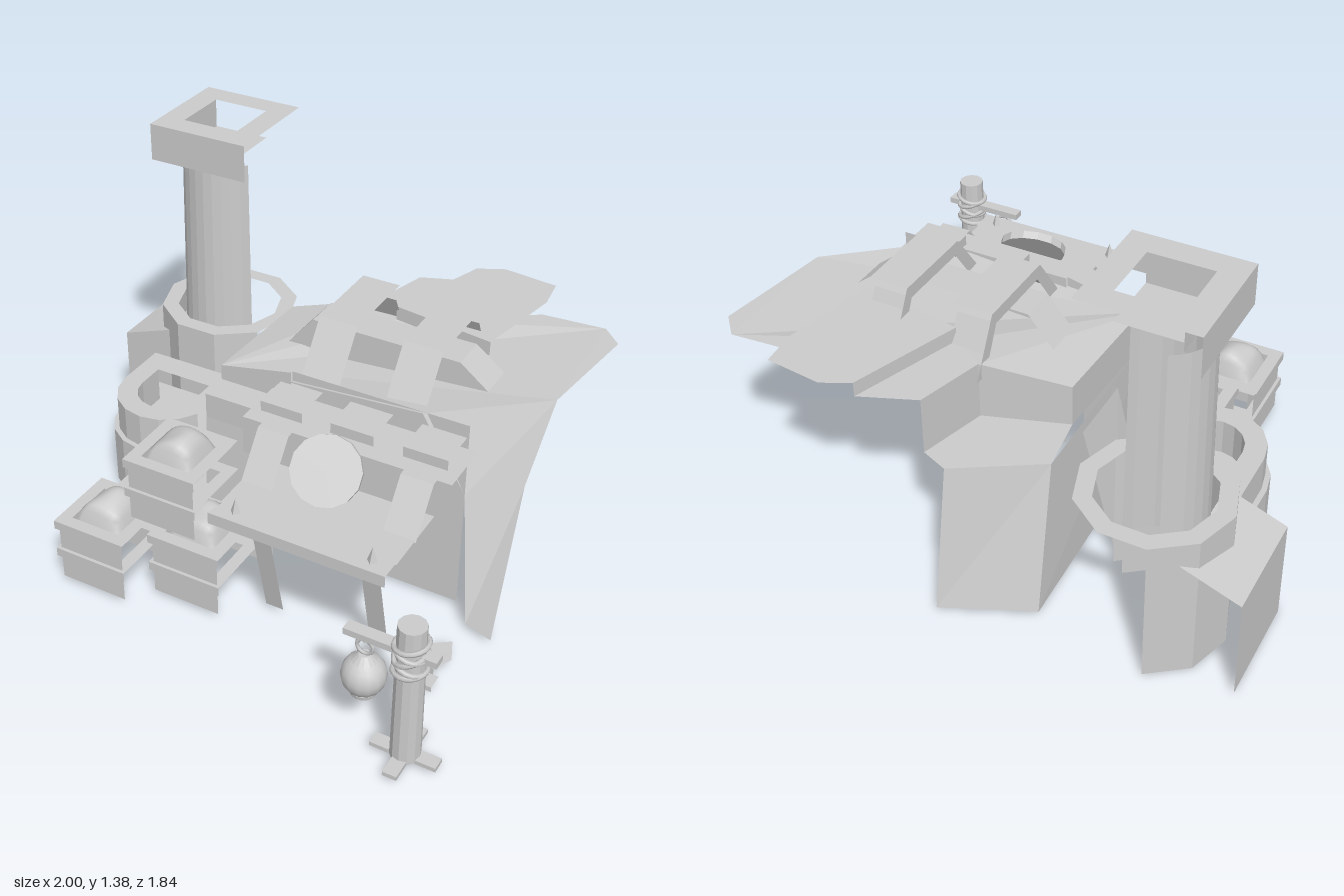
import * as THREE from 'three';

const flat = new THREE.MeshStandardMaterial({ color: 0xcccccc, flatShading: true, side: THREE.DoubleSide });
const smooth = new THREE.MeshStandardMaterial({ color: 0xcccccc, side: THREE.DoubleSide });
const OPEN = new THREE.Vector3(-0.6, 0.5, 0.62);
const clamp01 = (v) => THREE.MathUtils.clamp(v, 0, 1);

// Drop the faces turned to the back, right and underside: the scene is an open shell behind
function shell(geo) {
  const g = geo.index ? geo.toNonIndexed() : geo;
  const p = g.attributes.position, kept = [];
  const t = new THREE.Triangle(), n = new THREE.Vector3();
  for (let i = 0; i < p.count; i += 3) {
    t.setFromAttributeAndIndices(p, i, i + 1, i + 2);
    if (t.getNormal(n).dot(OPEN) > -0.2) kept.push(t.a.clone(), t.b.clone(), t.c.clone());
  }
  const r = new THREE.BufferGeometry().setFromPoints(kept);
  r.computeVertexNormals();
  return r;
}

function add(parent, name, geo, mat = flat) {
  const m = new THREE.Mesh(geo, mat);
  m.name = name;
  parent.add(m);
  return m;
}

function group(parent, name) {
  const g = new THREE.Group();
  g.name = name;
  parent.add(g);
  return g;
}

// Plan outlines are lists of [x, z]
const rect = (x, z, w, d = w) => [[x - w / 2, z - d / 2], [x + w / 2, z - d / 2], [x + w / 2, z + d / 2], [x - w / 2, z + d / 2]];
const arc = (x, z, r, n, span = 2 * Math.PI) =>
  Array.from({ length: n }, (_, i) => [x + r * Math.cos(i / n * span), z + r * Math.sin(i / n * span)]);
const planPoints = (plan) => plan.map(([x, z]) => new THREE.Vector2(x, -z));

// Upright prism over a plan outline, with an optional hole
function prism(plan, y0, y1, hole) {
  const s = new THREE.Shape(planPoints(plan));
  if (hole) s.holes.push(new THREE.Path(planPoints(hole)));
  return new THREE.ExtrudeGeometry(s, { depth: y1 - y0, bevelEnabled: false }).rotateX(-Math.PI / 2).translate(0, y0, 0);
}

// Front outline of [x, y] points, extruded from z0 to z1
function sweepZ(outline, z0, z1) {
  const s = new THREE.Shape(outline.map(([x, y]) => new THREE.Vector2(x, y)));
  return new THREE.ExtrudeGeometry(s, { depth: z1 - z0, bevelEnabled: false }).translate(0, 0, z0);
}

// Side outline of [z, y] points, extruded from x0 to x1
const sweepX = (outline, x0, x1) => sweepZ(outline.map(([z, y]) => [-z, y]), x0, x1).rotateY(Math.PI / 2);

// Thin sheet over a plan outline, its height given by a rule on x
function sheet(plan, height) {
  const g = new THREE.ShapeGeometry(new THREE.Shape(planPoints(plan))).rotateX(-Math.PI / 2);
  const p = g.attributes.position;
  for (let i = 0; i < p.count; i++) p.setY(i, height(p.getX(i)));
  g.computeVertexNormals();
  return g;
}

// Wall between a lower and an upper plan line
function wall(lower, y0, upper, height) {
  const a = lower.map(([x, z]) => new THREE.Vector3(x, y0, z));
  const b = upper.map(([x, z]) => new THREE.Vector3(x, height(x), z));
  const pts = [];
  for (let i = 0; i < a.length - 1; i++) pts.push(a[i], a[i + 1], b[i + 1], a[i], b[i + 1], b[i]);
  const g = new THREE.BufferGeometry().setFromPoints(pts);
  g.computeVertexNormals();
  return g;
}

function chimney(root) {
  const g = group(root, 'chimney');
  const x = -0.615, z = -0.59;
  add(g, 'chimneyBase', shell(prism(arc(x, z, 0.275, 10), 0, 0.565, arc(x, z, 0.21, 10))));
  add(g, 'chimneyShaft', shell(new THREE.CylinderGeometry(0.162, 0.176, 0.99, 28, 1, true).translate(-0.622, 0.735, z)));
  const flue = rect(x, z, 0.225);
  add(g, 'chimneyCap', shell(prism(rect(x, z, 0.41), 1.23, 1.375, flue)));
  add(g, 'flueFloor', sheet(flue, () => 1.265));
  // sloped block leaning on the base
  add(g, 'chimneyButtress', shell(sweepZ([[-1, 0.005], [-0.78, 0.005], [-0.78, 0.48], [-1, 0.4]], -0.79, -0.39)));
}

function furnace(root) {
  // square back with a half-round front
  const plan = (r, back) => [[-0.61 - r, back], [-0.61 + r, back], ...arc(-0.61, -0.11, r, 8, Math.PI), [-0.61 - r, -0.11]];
  add(root, 'furnaceFoot', shell(prism(plan(0.22, -0.32), 0.02, 0.26)));
  add(root, 'furnaceBody', shell(prism(plan(0.2, -0.32), 0.26, 0.4, plan(0.12, -0.22))));
}

function house(root) {
  const ledgeY = () => 0.57;
  const roofY = (x) => 0.73 + 0.06 * clamp01((x + 0.2) / 0.2);

  // lower rock, from the sloping back corner round the left to the front
  const foot = [[0.04, -0.92], [-0.28, -0.78], [-0.25, 0.2], [0.04, 0.2]];
  const ledge = [[0.04, -0.82], [-0.26, -0.64], [-0.25, 0.17], [0.04, 0.17]];
  add(root, 'lowerRock', wall(foot, 0.02, ledge, ledgeY));
  add(root, 'frontBlock', shell(prism(rect(-0.105, 0.115, 0.29, 0.11), 0.57, 0.67)));

  // upper rock set back above the ledge
  const neck = [[0.14, -0.78], [0.07, -0.53], [-0.23, -0.43], [-0.25, 0.06], [0.04, 0.06]];
  add(root, 'upperRock', wall(neck, 0.57, neck, roofY));
  add(root, 'backLedge', sheet([...neck.slice(0, 3), ledge[1], ledge[0]], ledgeY));

  // front wall, right wing and left outcrop
  const front = [[0.04, 0.05], [0.72, 0.05]];
  add(root, 'frontWall', wall(front, 0.02, front, roofY));
  const wing = [[0.72, 0.05], [0.88, -0.1]];
  add(root, 'wingTop', wall(wing, 0.5, [[0.55, 0.06], [0.915, -0.24]], roofY));
  add(root, 'wingFoot', wall([[0.8, 0.15], [0.91, 0.18]], 0.02, wing, () => 0.5));
  add(root, 'leftOutcrop', wall([[-0.4, -0.42], [-0.39, -0.15], [-0.25, -0.15]], 0.02, [[-0.28, -0.45], [-0.28, -0.18], [-0.25, -0.18]], ledgeY));

  // overhanging roof, with a raised slab at the back
  const seam = [[0.07, -0.53], [0.14, -0.78], [0.34, -0.86]];
  add(root, 'roof', sheet([[-0.25, 0.06], [0.55, 0.06], [0.915, -0.24], [0.975, -0.69], [0.9, -0.77], [0.66, -0.75],
    [0.2, -0.45], seam[0], [-0.23, -0.43]], roofY));
  add(root, 'roofLip', sheet([[0.2, -0.45], ...seam], roofY));
  add(root, 'roofSlab', shell(prism([[0.2, -0.45], seam[2], [0.44, -0.91], [0.655, -0.885], [0.67, -0.75], [0.6, -0.39]], 0.79, 0.845)));

  // ridge beam with sloping ends, held by two straps
  add(root, 'ridgeBeam', shell(sweepZ([[-0.12, 0.73], [0.69, 0.79], [0.58, 0.875], [0, 0.875]], -0.31, -0.17)));
  const strap = [[0.02, 0.76], [-0.11, 0.94], [-0.445, 0.94], [-0.56, 0.73], [-0.5, 0.73], [-0.42, 0.89], [-0.13, 0.89], [-0.04, 0.76]];
  for (const x of [0.06, 0.39]) add(root, 'roofStrap', shell(sweepX(strap, x, x + 0.15)));
}

function porch(root) {
  const g = group(root, 'porch');
  add(g, 'lintel', shell(prism(rect(0.36, 0.16, 0.795, 0.21), 0.55, 0.7)));
  for (const x of [0.08, 0.355, 0.63]) add(g, 'lintelBlock', shell(prism(rect(x, 0.125, 0.165, 0.15), 0.68, 0.74)));
  add(g, 'canopy', shell(prism(rect(0.37, 0.4, 0.66, 0.29), 0.515, 0.545)));
  add(g, 'canopyBeam', shell(prism([[0.06, 0.53], [0.7, 0.53], [0.7, 0.625], [0.04, 0.625]], 0.51, 0.555)));
  for (const side of [-1, 1]) {
    const at = (mid, offset, half) => [mid + side * offset - half, mid + side * offset + half];
    add(g, 'bracket', shell(sweepX([[0.26, 0.54], [0.41, 0.54], [0.29, 0.7], [0.26, 0.7]], ...at(0.372, 0.272, 0.06))));
    add(g, 'post', shell(sweepX([[0.33, 0.02], [0.4, 0.02], [0.515, 0.515], [0.445, 0.515]], ...at(0.375, 0.21, 0.035))));
    add(g, 'spike', new THREE.ConeGeometry(0.022, 0.065, 4).translate(0.375 + side * 0.255, 0.58, 0.575));
  }
  // round shield leaning on the canopy
  const sign = add(g, 'signDisc', new THREE.CylinderGeometry(0.125, 0.125, 0.03, 14));
  sign.position.set(0.34, 0.66, 0.35);
  sign.rotation.set(0.95, 0, -0.25);
}

function crate(root, x, z, y, turn) {
  const g = group(root, 'crate');
  g.position.set(x, y, z);
  const hole = rect(0, 0, 0.2);
  add(g, 'crateBody', shell(prism(rect(0, 0, 0.27), 0, 0.24, hole)));
  for (const h of [0.1, 0.225]) add(g, 'crateBand', shell(prism(rect(0, 0, 0.295), h, h + 0.035, hole)));
  // lumpy square heap
  const heap = new THREE.PlaneGeometry(0.2, 0.2, 10, 10).rotateX(-Math.PI / 2);
  const p = heap.attributes.position;
  for (let i = 0; i < p.count; i++) {
    const u = p.getX(i) / 0.1, v = p.getZ(i) / 0.1;
    const dome = Math.sqrt(clamp01((1 - u ** 2) * (1 - v ** 4)));
    p.setY(i, 0.22 + 0.125 * dome * (0.9 + 0.1 * Math.sin(3 * u + turn) * Math.cos(2 * v + turn)));
  }
  heap.computeVertexNormals();
  add(g, 'crateHeap', heap, smooth);
}

function lampPost(root) {
  const g = group(root, 'lampPost');
  g.position.set(0.88, 0, 0.8);
  add(g, 'pole', new THREE.CylinderGeometry(0.048, 0.052, 0.55, 12).translate(0, 0.3, 0));
  for (const turn of [0, Math.PI / 2]) add(g, 'poleFoot', new THREE.BoxGeometry(0.235, 0.016, 0.05).rotateY(turn).translate(0, 0.03, 0));
  add(g, 'arm', new THREE.BoxGeometry(0.32, 0.024, 0.045).translate(-0.065, 0.467, 0));
  [0.15, -0.35, 0.4, -0.3, 0.2].forEach((tilt, i) => {
    const rope = add(g, 'rope', new THREE.TorusGeometry(0.056, 0.009, 6, 18).rotateX(Math.PI / 2), smooth);
    rope.position.y = 0.4 + i * 0.025;
    rope.rotation.z = tilt;
  });
  // hanging lantern
  const lamp = group(g, 'lantern');
  lamp.position.set(-0.157, 0.3, 0);
  add(lamp, 'lanternBowl', new THREE.SphereGeometry(0.076, 14, 10), smooth);
  add(lamp, 'lanternFoot', new THREE.CylinderGeometry(0.048, 0.045, 0.015, 14).translate(0, -0.068, 0));
  add(lamp, 'lanternLid', new THREE.CylinderGeometry(0.02, 0.045, 0.025, 14).translate(0, 0.073, 0));
  add(lamp, 'lanternRing', new THREE.TorusGeometry(0.028, 0.007, 6, 16).translate(0, 0.115, 0), smooth);
  add(lamp, 'lanternHook', new THREE.CylinderGeometry(0.007, 0.007, 0.03, 6).translate(0, 0.15, 0));
}

export function createModel() {
  const root = new THREE.Group();
  root.name = 'forgeHut';
  chimney(root);
  furnace(root);
  house(root);
  porch(root);
  const crates = [[-0.385, 0.225, 0.02], [-0.46, 0.5, 0.02], [-0.125, 0.4, 0.02], [-0.24, 0.36, 0.285]];
  crates.forEach(([x, z, y], i) => crate(root, x, z, y, i));
  lampPost(root);
  // loose stones
  add(root, 'largeStone', shell(prism([[0.71, 0.36], [0.81, 0.285], [0.845, 0.37], [0.81, 0.44], [0.72, 0.43]], 0.02, 0.055)));
  add(root, 'smallStone', shell(prism(rect(0.795, 0.48, 0.08, 0.06), 0.02, 0.04)));
  return root;
}
